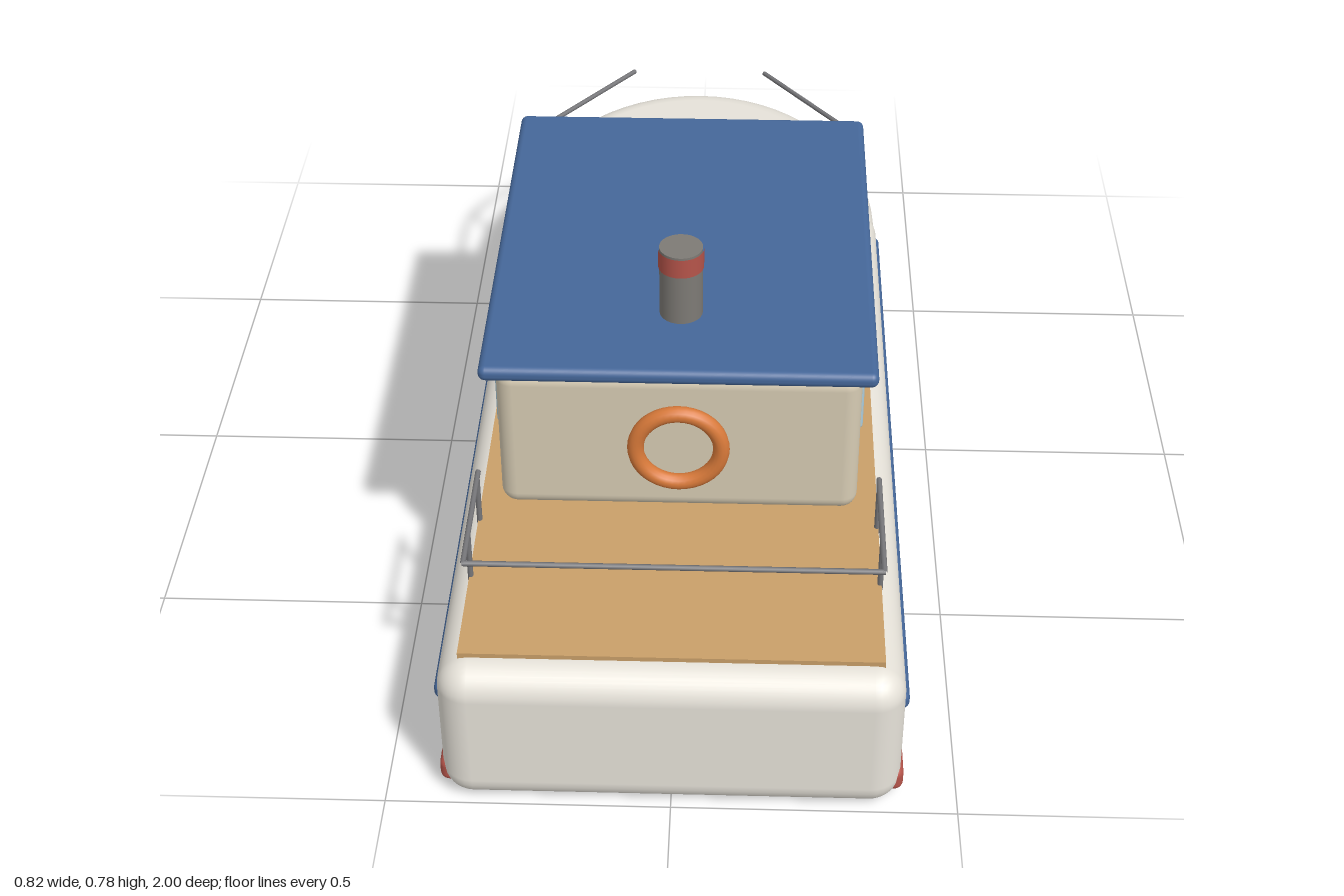
import * as THREE from 'three';
import { RoundedBoxGeometry } from 'three/addons/geometries/RoundedBoxGeometry.js';

const COLORS = {
  hull: 0xe6e2d9, red: 0xb5544a, blue: 0x456799, wood: 0xc99f69, cabin: 0xd6cbb3,
  glass: 0xadcbd8, metal: 0x77777a, funnel: 0x7d7a75, orange: 0xd97a3a,
};
const materials = {};
for (const key in COLORS) materials[key] = new THREE.MeshStandardMaterial({ color: COLORS[key] });

export function createModel() {
  const boat = new THREE.Group();
  boat.name = 'boat';

  const add = (name, geometry, color, x = 0, y = 0, z = 0) => {
    const mesh = new THREE.Mesh(geometry, materials[color]);
    mesh.name = name;
    mesh.position.set(x, y, z);
    boat.add(mesh);
    return mesh;
  };
  // Rounded block given by its extents along each axis
  const block = (name, color, [x0, x1], [y0, y1], [z0, z1], radius) =>
    add(name, new RoundedBoxGeometry(x1 - x0, y1 - y0, z1 - z0, 4, radius), color,
      (x0 + x1) / 2, (y0 + y1) / 2, (z0 + z1) / 2);

  // Hull body
  block('hull', 'hull', [-0.4, 0.4], [0, 0.297], [-0.495, 1], 0.055);

  // Bow: a rounded disc stretched forward, its aft half hidden in the hull
  const radius = 0.396, round = 0.05, low = 0.008, high = 0.293;
  const profile = [new THREE.Vector2(0, low)];
  for (const [cy, start] of [[low + round, -Math.PI / 2], [high - round, 0]]) {
    for (let i = 0; i <= 6; i++) {
      const a = start + (i / 6) * (Math.PI / 2);
      profile.push(new THREE.Vector2(radius - round + round * Math.cos(a), cy + round * Math.sin(a)));
    }
  }
  profile.push(new THREE.Vector2(0, high));
  const bow = add('bow', new THREE.LatheGeometry(profile, 64), 'hull', 0, 0, -0.48);
  bow.scale.z = 0.52 / radius;

  // Deck
  add('deck', new THREE.BoxGeometry(0.725, 0.012, 1.415), 'wood', 0, 0.3, 0.237);

  // Cabin, roof and front window
  block('cabin', 'cabin', [-0.325, 0.325], [0.3, 0.606], [-0.25, 0.555], 0.03);
  block('roof', 'blue', [-0.35, 0.35], [0.606, 0.635], [-0.285, 0.585], 0.013);
  block('frontWindow', 'glass', [-0.28, 0.28], [0.45, 0.553], [-0.256, -0.24], 0.007);

  // Funnel with a painted band
  add('funnel', new THREE.CylinderGeometry(0.039, 0.039, 0.147, 32), 'funnel', 0, 0.7025, 0.4);
  add('funnelBand', new THREE.CylinderGeometry(0.041, 0.041, 0.038, 32, 1, true), 'red', 0, 0.754, 0.4);

  // Lifebuoy on the aft cabin wall
  add('lifebuoy', new THREE.TorusGeometry(0.077, 0.015, 14, 40), 'orange', 0, 0.45, 0.562);

  // Rails
  const railY = 0.402, railR = 0.005;
  const rail = (name, curve, segments) =>
    add(name, new THREE.TubeGeometry(curve, segments, railR, 8), 'metal');
  const post = (name, x, z) =>
    add(name, new THREE.CylinderGeometry(railR, railR, 0.11, 8), 'metal', x, railY - 0.055, z);
  const at = (x, z) => new THREE.Vector3(x, railY, z);

  rail('sternRail', new THREE.LineCurve3(at(-0.362, 0.825), at(0.362, 0.825)), 1);

  for (const side of [-1, 1]) {
    const label = side > 0 ? 'left' : 'right';
    const span = (a, b) => (side > 0 ? [a, b] : [-b, -a]);

    // Rubbing strake and waterline stripe
    block(label + 'Strake', 'blue', span(0.38, 0.408), [0.194, 0.229], [-0.467, 0.947], 0.0135);
    block(label + 'WaterlineStripe', 'red', span(0.372, 0.405), [0.02, 0.07], [-0.485, 0.972], 0.016);

    // Side windows
    for (let i = 0; i < 4; i++) {
      const z = 0.437 - i * 0.19;
      block(label + 'Window' + (i + 1), 'glass', span(0.314, 0.331), [0.452, 0.552], [z - 0.065, z + 0.065], 0.008);
    }

    // Aft rail
    rail(label + 'AftRail', new THREE.LineCurve3(at(side * 0.36, 0.58), at(side * 0.36, 0.828)), 1);
    post(label + 'AftPost1', side * 0.36, 0.75);
    post(label + 'AftPost2', side * 0.36, 0.6);

    // Bow rail: straight, then bending in towards the tip
    const path = new THREE.CurvePath();
    path.add(new THREE.LineCurve3(at(side * 0.36, -0.28), at(side * 0.36, -0.53)));
    path.add(new THREE.QuadraticBezierCurve3(
      at(side * 0.36, -0.53), at(side * 0.36, -0.6), at(side * 0.318, -0.655)));
    path.add(new THREE.LineCurve3(at(side * 0.318, -0.655), at(side * 0.15, -0.877)));
    rail(label + 'BowRail', path, 40);
    post(label + 'BowPost1', side * 0.36, -0.45);
    post(label + 'BowPost2', side * 0.349, -0.6);
  }
  return boat;
}
